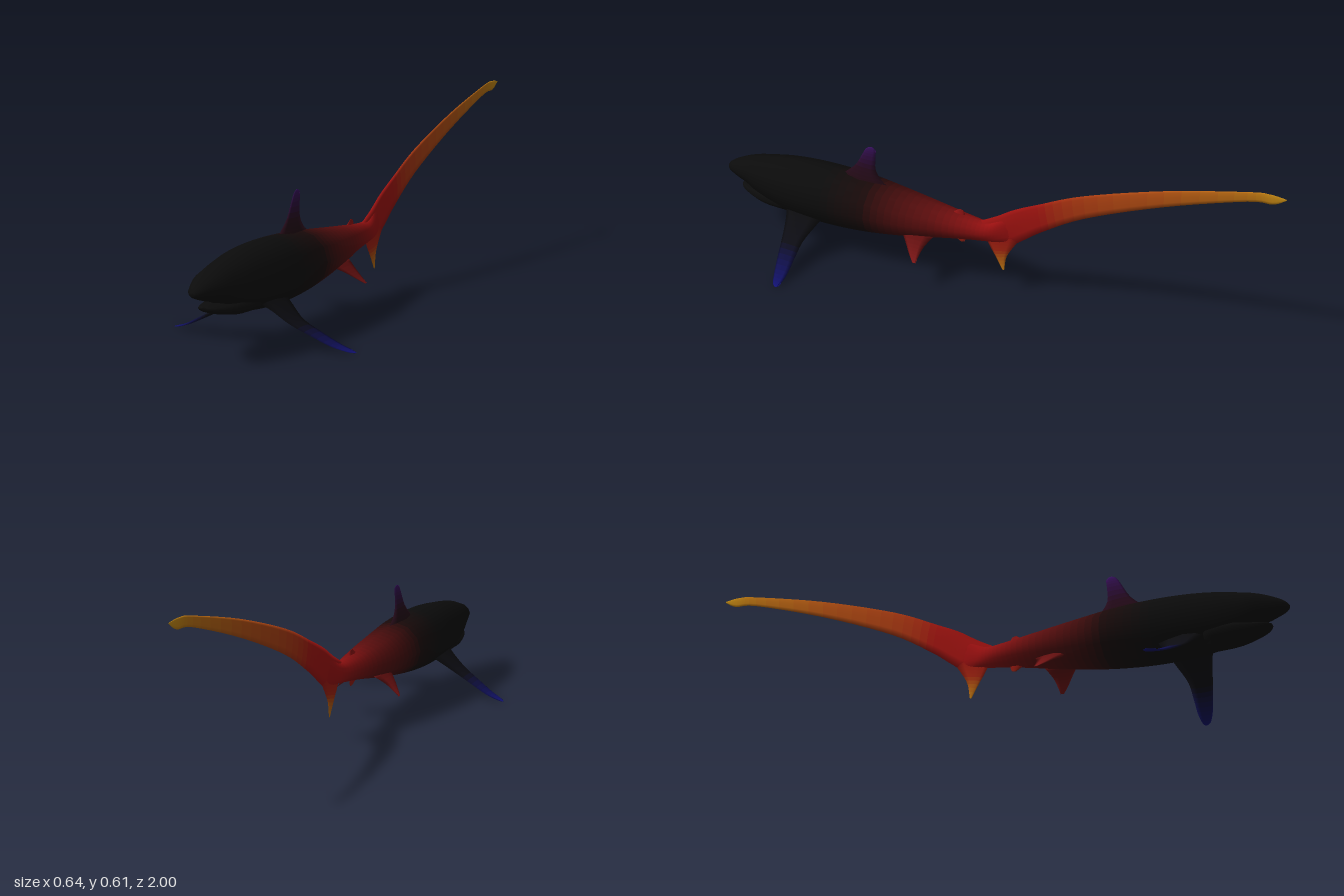
import * as THREE from 'three';

const BLACK = 0x0b0b0b, DARK = 0x180909, RED = 0x9c1010, ORANGE = 0xc07c12;

// Smoothly resample rows of numbers (Catmull-Rom through each column)
function resample(rows, steps) {
  const out = [], last = rows.length - 1;
  for (let i = 0; i <= steps; i++) {
    const f = (i / steps) * last, k = Math.min(Math.floor(f), last - 1), t = f - k;
    const [a, b, c, d] = [k - 1, k, k + 1, k + 2].map((j) => rows[Math.max(0, Math.min(last, j))]);
    out.push(b.map((p1, j) => {
      const p0 = a[j], p2 = c[j], p3 = d[j];
      return p1 + 0.5 * t * (p2 - p0 + t * (2 * p0 - 5 * p1 + 4 * p2 - p3 + t * (3 * (p1 - p2) + p3 - p0)));
    }));
  }
  return out;
}

// Colour at u along a list of [position, hex] stops
function colourAt(stops, u) {
  let i = 0;
  while (i < stops.length - 2 && u > stops[i + 1][0]) i++;
  const [a, ca] = stops[i], [b, cb] = stops[i + 1];
  const t = THREE.MathUtils.clamp((u - a) / (b - a), 0, 1);
  return new THREE.Color(ca).lerp(new THREE.Color(cb), t);
}

// Skin closed rings into a smooth surface, split into one coloured band per ring pair
function loft(name, rings, stops) {
  const n = rings[0].length, m = rings.length;
  const points = rings.flat(), strips = [];
  for (let i = 0; i < m - 1; i++) {
    const strip = [];
    for (let j = 0; j < n; j++) {
      const a = i * n + j, b = i * n + ((j + 1) % n);
      strip.push([a, b, a + n], [b, b + n, a + n]);
    }
    strips.push(strip);
  }
  // End caps
  for (let j = 1; j < n - 1; j++) {
    const e = (m - 1) * n;
    strips[0].push([0, j + 1, j]);
    strips[m - 2].push([e, e + j, e + j + 1]);
  }
  // Turn all faces outward
  let volume = 0;
  for (const [a, b, c] of strips.flat()) {
    volume += points[a].dot(new THREE.Vector3().crossVectors(points[b], points[c]));
  }
  if (volume < 0) strips.flat().forEach((f) => f.reverse());

  const whole = new THREE.BufferGeometry().setFromPoints(points);
  whole.setIndex(strips.flat(2));
  whole.computeVertexNormals();

  const group = new THREE.Group();
  group.name = name;
  strips.forEach((strip, i) => {
    const geometry = new THREE.BufferGeometry();
    geometry.setAttribute('position', whole.getAttribute('position'));
    geometry.setAttribute('normal', whole.getAttribute('normal'));
    geometry.setIndex(strip.flat());
    const material = new THREE.MeshStandardMaterial({ color: colourAt(stops, (i + 0.5) / (m - 1)) });
    const mesh = new THREE.Mesh(geometry, material);
    mesh.name = `${name}Band${i + 1}`;
    group.add(mesh);
  });
  return group;
}

// Rounded trunk; rows are [z, top, bottom, half width]
function trunk(name, rows, steps, stops) {
  const rings = resample(rows, steps).map(([z, top, bottom, w]) => {
    const ring = [];
    for (let j = 0; j < 12; j++) {
      const a = (j / 12) * Math.PI * 2;
      ring.push(new THREE.Vector3(Math.max(w, 0.001) * Math.sin(a),
        (top + bottom) / 2 + Math.cos(a) * (top - bottom) / 2, z));
    }
    return ring;
  });
  return loft(name, rings, stops);
}

// Fin with a lens section; rows are [lead x, y, z, trail x, y, z, half thickness]
function fin(name, rows, steps, stops, normal = [1, 0, 0], side = 1) {
  const up = new THREE.Vector3(...normal);
  const rings = resample(rows, steps).map((r) => {
    const lead = new THREE.Vector3(r[0], r[1], r[2]);
    const trail = new THREE.Vector3(r[3], r[4], r[5]);
    const at = (t, s) => {
      const p = lead.clone().lerp(trail, t).addScaledVector(up, s * Math.max(r[6], 0.0008));
      p.x *= side;
      return p;
    };
    return [at(0, 0), at(0.12, 0.65), at(0.4, 1), at(0.75, 0.55), at(1, 0),
      at(0.75, -0.55), at(0.4, -1), at(0.12, -0.65)];
  });
  return loft(name, rings, stops);
}

// Fin lying in the centre plane; rows are [lead y, z, trail y, z, half thickness]
const midFin = (name, rows, steps, stops) =>
  fin(name, rows.map(([ly, lz, ty, tz, t]) => [0, ly, lz, 0, ty, tz, t]), steps, stops);

export function createModel() {
  const model = new THREE.Group();
  model.name = 'longTailedShark';

  // Body from snout to tail root
  model.add(trunk('body', [
    [1.0, 0.22, 0.21, 0.006],
    [0.985, 0.236, 0.2, 0.025],
    [0.945, 0.256, 0.186, 0.046],
    [0.9, 0.272, 0.172, 0.062],
    [0.85, 0.284, 0.143, 0.075],
    [0.76, 0.3, 0.113, 0.092],
    [0.66, 0.307, 0.103, 0.103],
    [0.55, 0.307, 0.102, 0.105],
    [0.44, 0.3, 0.11, 0.102],
    [0.34, 0.288, 0.123, 0.092],
    [0.24, 0.275, 0.14, 0.078],
    [0.14, 0.263, 0.16, 0.058],
    [0.06, 0.254, 0.173, 0.041],
    [0.0, 0.252, 0.18, 0.028],
    [-0.05, 0.275, 0.185, 0.014],
    [-0.1, 0.295, 0.205, 0.001],
  ], 60, [[0, BLACK], [0.45, BLACK], [0.54, DARK], [0.7, 0x5c0d0d], [0.9, RED], [1, RED]]));

  // Lower jaw, slightly behind the snout
  model.add(trunk('lowerJaw', [
    [0.942, 0.166, 0.158, 0.012],
    [0.925, 0.169, 0.147, 0.034],
    [0.88, 0.172, 0.133, 0.054],
    [0.82, 0.18, 0.12, 0.07],
    [0.74, 0.18, 0.115, 0.07],
  ], 10, [[0, BLACK], [1, BLACK]]));

  // Front back fin
  model.add(midFin('dorsalFin', [
    [0.285, 0.56, 0.275, 0.34, 0.026],
    [0.308, 0.53, 0.3, 0.385, 0.014],
    [0.345, 0.49, 0.34, 0.413, 0.005],
    [0.39, 0.464, 0.39, 0.413, 0.003],
    [0.418, 0.447, 0.415, 0.411, 0.002],
    [0.427, 0.43, 0.424, 0.418, 0.001],
  ], 15, [[0, 0x1c0808], [0.4, 0x260a1c], [1, 0x3c1268]]));

  // Small rear back fin and belly fin
  model.add(midFin('rearDorsalFin', [
    [0.25, 0.14, 0.245, 0.08, 0.008],
    [0.265, 0.115, 0.262, 0.08, 0.003],
    [0.275, 0.1, 0.272, 0.085, 0.001],
  ], 4, [[0, RED], [1, 0x7c1414]]));
  model.add(midFin('analFin', [
    [0.178, 0.14, 0.185, 0.075, 0.008],
    [0.16, 0.115, 0.16, 0.08, 0.003],
    [0.15, 0.098, 0.151, 0.085, 0.001],
  ], 4, [[0, RED], [1, 0x8c2412]]));

  // Long sweeping upper tail lobe
  model.add(midFin('upperTailLobe', [
    [0.247, 0.03, 0.185, 0.03, 0.012],
    [0.283, -0.035, 0.186, -0.08, 0.009],
    [0.325, -0.1, 0.215, -0.13, 0.005],
    [0.365, -0.18, 0.268, -0.2, 0.004],
    [0.44, -0.34, 0.36, -0.35, 0.003],
    [0.53, -0.61, 0.472, -0.61, 0.003],
    [0.597, -0.875, 0.563, -0.875, 0.002],
    [0.607, -0.945, 0.574, -0.955, 0.002],
    [0.602, -0.998, 0.597, -0.995, 0.001],
  ], 40, [[0, RED], [0.38, 0xa41410], [0.62, 0xb45012], [0.8, ORANGE], [1, 0xc89014]]));

  // Short lower tail lobe
  model.add(midFin('lowerTailLobe', [
    [0.215, 0.015, 0.222, -0.125, 0.007],
    [0.17, -0.006, 0.185, -0.1, 0.005],
    [0.125, -0.033, 0.135, -0.072, 0.003],
    [0.08, -0.058, 0.083, -0.064, 0.001],
  ], 12, [[0, RED], [0.5, 0xa42410], [1, ORANGE]]));

  // Paired fins
  for (const [label, side] of [['left', 1], ['right', -1]]) {
    model.add(fin(`${label}PectoralFin`, [
      [0.05, 0.15, 0.745, 0.05, 0.145, 0.59, 0.02],
      [0.085, 0.123, 0.725, 0.085, 0.12, 0.605, 0.012],
      [0.14, 0.082, 0.708, 0.14, 0.08, 0.627, 0.006],
      [0.2, 0.05, 0.69, 0.2, 0.049, 0.625, 0.005],
      [0.26, 0.02, 0.67, 0.26, 0.02, 0.62, 0.003],
      [0.305, 0.005, 0.65, 0.305, 0.005, 0.621, 0.002],
      [0.32, 0.001, 0.636, 0.32, 0.001, 0.626, 0.001],
    ], 20, [[0, BLACK], [0.4, 0x0c0c14], [1, 0x12127c]], [0.47, 0.88, 0], side));
    model.add(fin(`${label}PelvicFin`, [
      [0.04, 0.165, 0.3, 0.04, 0.165, 0.18, 0.012],
      [0.075, 0.14, 0.265, 0.075, 0.14, 0.197, 0.006],
      [0.1, 0.118, 0.24, 0.1, 0.118, 0.203, 0.003],
      [0.12, 0.1, 0.217, 0.12, 0.1, 0.205, 0.001],
    ], 9, [[0, 0x5c0d0d], [1, 0x7c1616]], [0.65, 0.76, 0], side));
  }
  return model;
}
